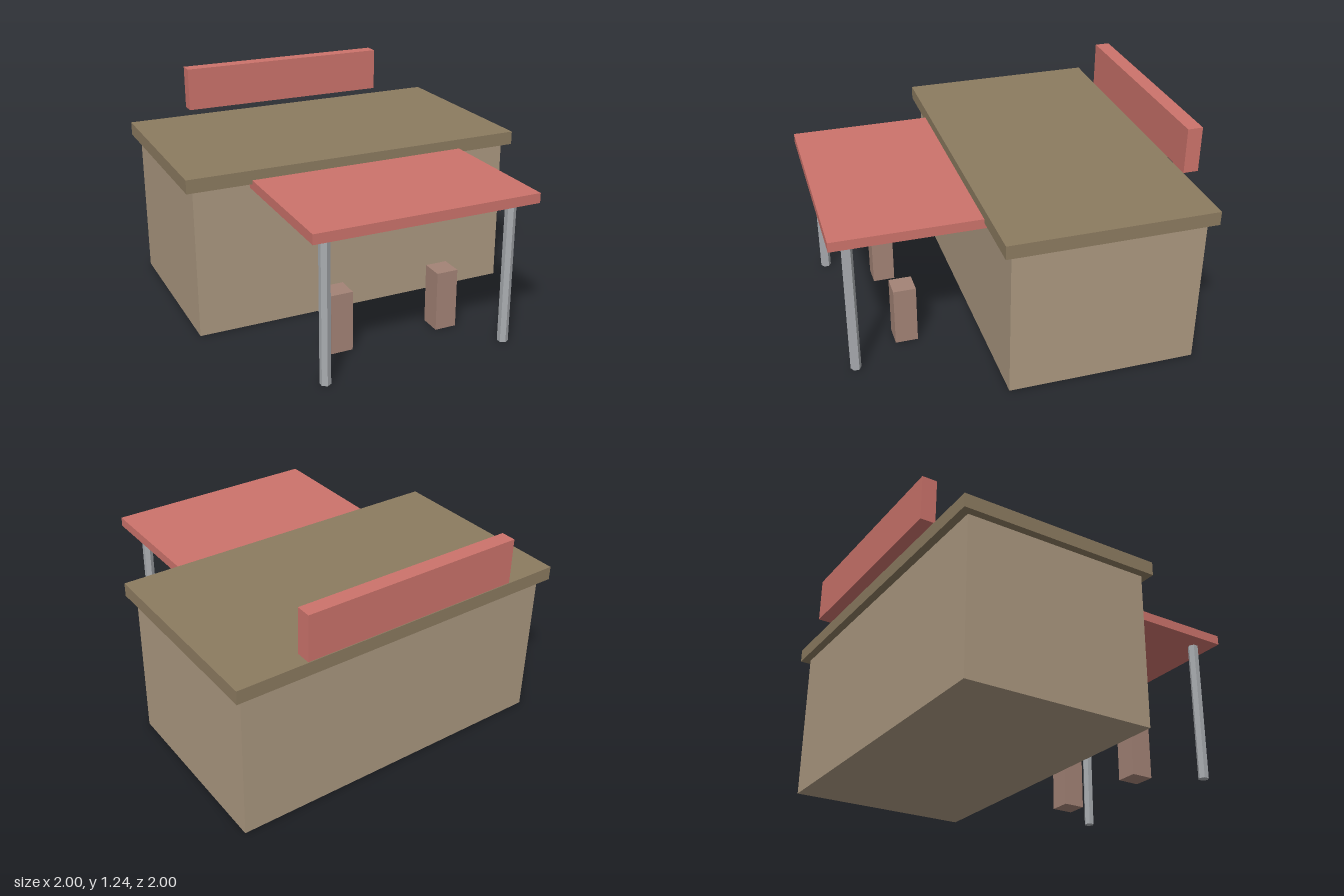
import * as THREE from 'three';

const paint = (color) => new THREE.MeshStandardMaterial({ color, flatShading: true });

export function createModel() {
  const model = new THREE.Group();
  model.name = 'building';

  const wall = paint(0xab9880);
  const roofing = paint(0x8c7b60);
  const red = paint(0xcc736b);
  const metal = paint(0xa9acb0);
  const clay = paint(0xa38376);

  const add = (name, geometry, material, x, y, z) => {
    const mesh = new THREE.Mesh(geometry, material);
    mesh.name = name;
    mesh.position.set(x, y, z);
    model.add(mesh);
  };

  // Box given by its width, centre x, and y and z ranges
  const box = (name, material, width, x, [y0, y1], [z0, z1]) =>
    add(name, new THREE.BoxGeometry(width, y1 - y0, z1 - z0), material, x, (y0 + y1) / 2, (z0 + z1) / 2);

  // Main building, overhanging roof slab, front canopy and rear sign panel
  box('walls', wall, 1.912, 0, [0, 0.86], [-0.91, 0.15]);
  box('roof', roofing, 2, 0, [0.86, 0.937], [-0.955, 0.193]);
  box('canopy', red, 1.275, 0, [0.827, 0.882], [0.15, 1]);
  box('signPanel', red, 1.275, 0, [0.98, 1.237], [-1, -0.915]);

  // Hexagonal canopy posts and forecourt pumps, mirrored left and right
  for (const [side, s] of [['left', 1], ['right', -1]]) {
    add(`${side}Post`, new THREE.CylinderGeometry(0.03, 0.03, 0.827, 6), metal, s * 0.532, 0.4135, 0.893);
    box(`${side}Pump`, clay, 0.126, s * 0.32, [0, 0.345], [0.511, 0.639]);
  }

  return model;
}
